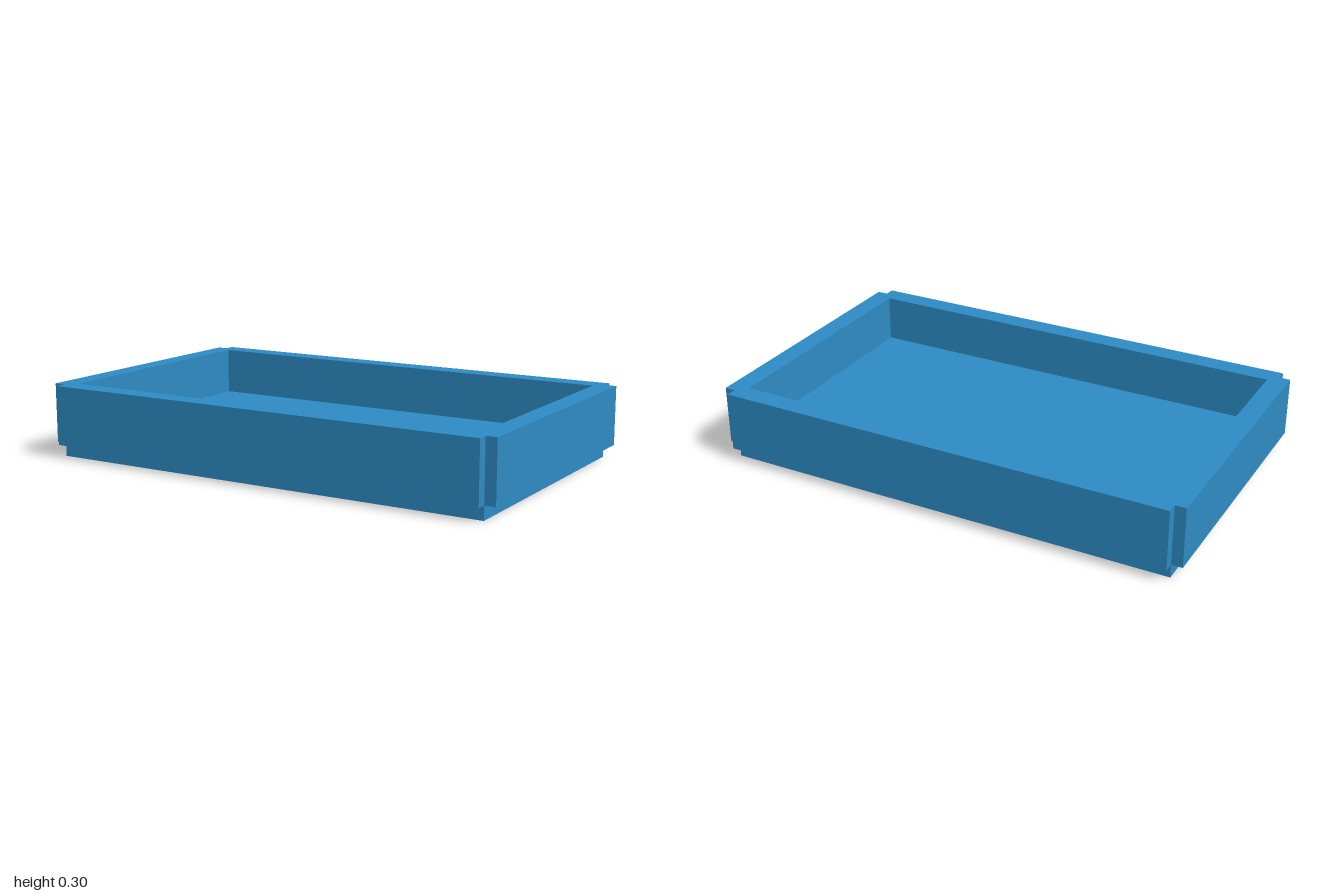
import * as THREE from 'three';

const CORE = { x: 0.955, z: 0.573 };   // half size of the base and notched corners
const OUTER = { x: 1.0, z: 0.617 };    // half size across the side panels
const INNER = { x: 0.915, z: 0.53 };   // half size of the cavity
const STEP = 0.055, FLOOR = 0.103, TOP = 0.302;

export function createModel() {
  const group = new THREE.Group();
  group.name = 'tray';
  const blue = new THREE.MeshStandardMaterial({ color: 0x2e8bc4 });
  blue.name = 'blue';

  const add = (name, geometry, y) => {
    const mesh = new THREE.Mesh(geometry, blue);
    mesh.name = name;
    mesh.position.y = y;
    group.add(mesh);
  };
  const slab = (name, half, y0, y1) =>
    add(name, new THREE.BoxGeometry(2 * half.x, y1 - y0, 2 * half.z), (y0 + y1) / 2);

  // Recessed base and the raised floor of the cavity
  slab('base', CORE, 0, STEP);
  slab('floor', INNER, STEP, FLOOR);

  // Walls: an outline with notched corners, cut out in the middle
  const { x: cx, z: cz } = CORE, { x: ox, z: oz } = OUTER, { x: ix, z: iz } = INNER;
  const points = (list) => list.map(([x, z]) => new THREE.Vector2(x, z));
  const outline = new THREE.Shape(points([
    [cx, -oz], [cx, -cz], [ox, -cz], [ox, cz], [cx, cz], [cx, oz],
    [-cx, oz], [-cx, cz], [-ox, cz], [-ox, -cz], [-cx, -cz], [-cx, -oz],
  ]));
  outline.holes.push(new THREE.Path(points([[-ix, -iz], [-ix, iz], [ix, iz], [ix, -iz]])));
  const walls = new THREE.ExtrudeGeometry(outline, { depth: TOP - STEP, bevelEnabled: false });
  walls.rotateX(-Math.PI / 2);
  add('walls', walls, STEP);

  return group;
}
